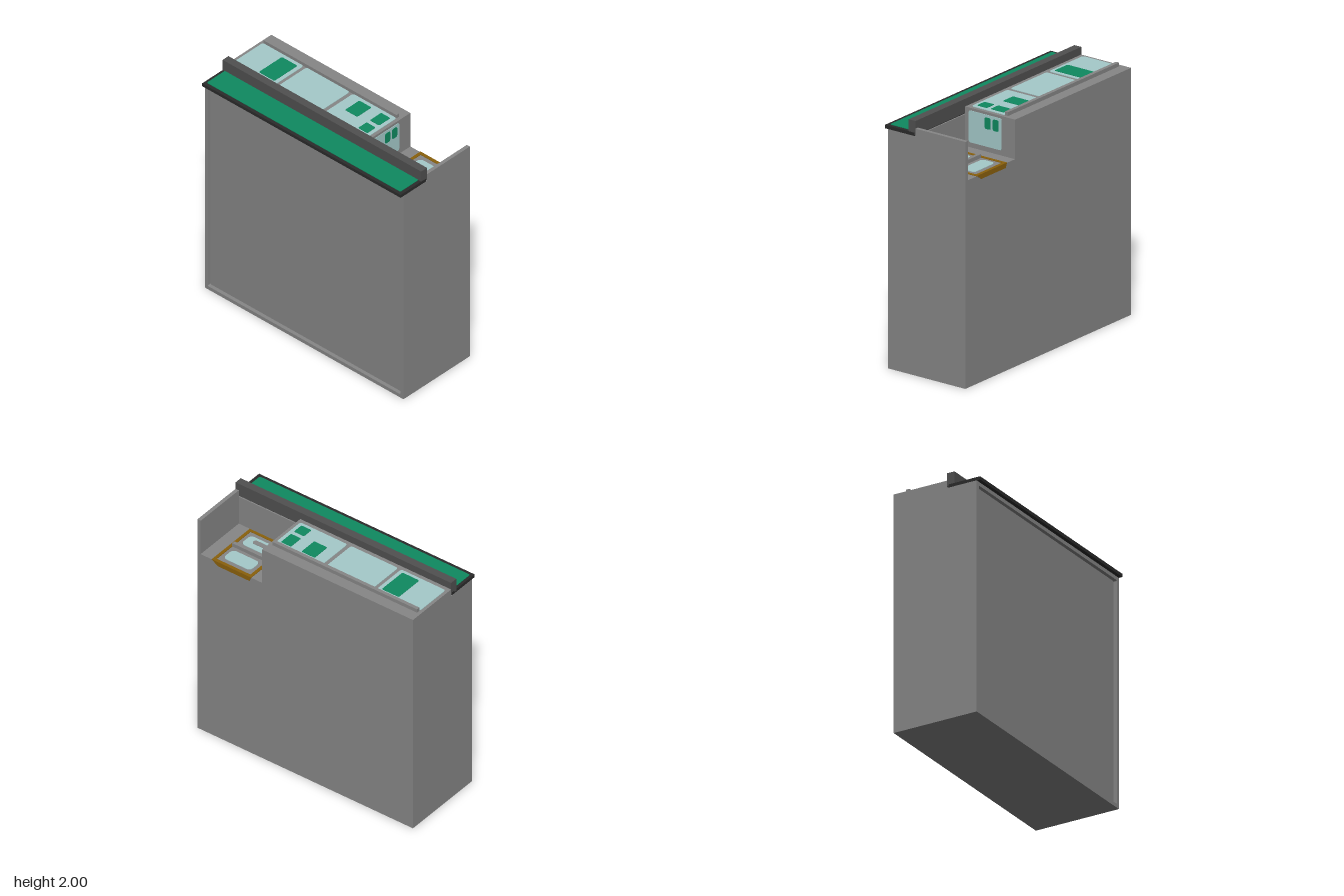
import * as THREE from 'three';

const mat = (name, color, side = THREE.FrontSide) => {
  const m = new THREE.MeshStandardMaterial({ color, side });
  m.name = name;
  return m;
};

export function createModel() {
  const root = new THREE.Group();
  root.name = 'serviceCounter';
  const grey = mat('bodyGrey', 0x868686);
  const darkGrey = mat('railGrey', 0x505050);
  const black = mat('trimBlack', 0x2b2b2b);
  const green = mat('panelGreen', 0x0f8a60);
  const pale = mat('paleBlue', 0xa5caca);
  const ochre = mat('frameOchre', 0x8a600c);

  const BACK = -0.374, MID = 0.09, FRONT = 0.345;
  const DECK = 1.94, FLOOR = 1.63, SHELF = 1.88;

  const add = (name, geometry, material, parent = root) => {
    const mesh = new THREE.Mesh(geometry, material);
    mesh.name = name;
    parent.add(mesh);
    return mesh;
  };
  // Box given by its extents
  const box = (name, material, x0, x1, y0, y1, z0, z1) => {
    const m = add(name, new THREE.BoxGeometry(x1 - x0, y1 - y0, z1 - z0), material);
    m.position.set((x0 + x1) / 2, (y0 + y1) / 2, (z0 + z1) / 2);
    return m;
  };
  const polygon = pts => new THREE.Shape(pts.map(p => new THREE.Vector2(...p)));
  const rect = (x0, x1, y0, y1) => polygon([[x0, y0], [x1, y0], [x1, y1], [x0, y1]]);
  const rounded = (x0, x1, y0, y1, r) => {
    const s = new THREE.Shape();
    s.absarc(x1 - r, y1 - r, r, 0, Math.PI / 2);
    s.absarc(x0 + r, y1 - r, r, Math.PI / 2, Math.PI);
    s.absarc(x0 + r, y0 + r, r, Math.PI, Math.PI * 1.5);
    s.absarc(x1 - r, y0 + r, r, Math.PI * 1.5, Math.PI * 2);
    s.closePath();
    return s;
  };
  const extrude = (shape, depth) =>
    new THREE.ExtrudeGeometry(shape, { depth, bevelEnabled: false, curveSegments: 6 });
  // Thin rounded plate lying on a horizontal surface
  const plate = (name, material, x0, x1, z0, z1, y, r, h = 0.004) => {
    const g = extrude(rounded(x0, x1, -z1, -z0, r), h).rotateX(-Math.PI / 2);
    add(name, g, material).position.y = y;
  };

  // Cabinet with the notch cut out of its top
  const profile = polygon([[-1, 0], [1, 0], [1, DECK], [0.97, DECK],
    [0.97, FLOOR], [0.4, FLOOR], [0.4, DECK], [-1, DECK]]);
  add('cabinetBack', extrude(profile, MID - BACK), grey).position.z = BACK;
  box('cabinetFront', grey, -1, 1, 0, SHELF, MID, FRONT - 0.03);

  // Raised border around the sunken front panel
  const border = rect(-1, 1, 0, SHELF);
  border.holes.push(rounded(-0.97, 0.97, 0.03, 1.85, 0.01));
  add('frontBorder', extrude(border, 0.03), grey).position.z = FRONT - 0.03;

  // Front shelf and upright rail
  box('shelf', black, -1, 1, SHELF, 1.906, 0.1, 0.375);
  plate('shelfMat', green, -0.978, 0.972, 0.153, 0.348, 1.906, 0.01);
  box('rail', darkGrey, -1, 1, 1.89, 2, MID, 0.153);

  // Work surface on the deck
  box('deckRidge', grey, -0.97, 0.37, DECK, 1.97, -0.285, -0.256);
  for (const [x0, x1] of [[-0.975, -0.563], [-0.535, -0.098], [-0.065, 0.372]])
    plate('deckPanel', pale, x0, x1, -0.255, 0.055, DECK, 0.02);
  for (const [x0, x1, z0, z1] of [[-0.752, -0.596, -0.222, 0.027], [0.028, 0.15, -0.222, -0.068],
    [0.248, 0.34, -0.222, -0.1], [0.248, 0.34, 0.064 - 0.128, 0.027]])
    plate('deckPad', green, x0, x1, z0, z1, DECK + 0.004, 0.01, 0.003);

  // Panel with pads on the inner wall of the notch
  const wallPlate = (name, material, z0, z1, y0, y1, x, h) => {
    const g = extrude(rounded(-z1, -z0, y0, y1, 0.015), h).rotateY(Math.PI / 2);
    add(name, g, material).position.x = x;
  };
  wallPlate('wallPanel', pale, -0.25, 0.055, 1.67, 1.92, 0.4, 0.004);
  for (const z of [-0.225, -0.15])
    wallPlate('wallPad', green, z, z + 0.055, 1.81, 1.9, 0.404, 0.003);

  // Framed tray area on the notch floor
  const ring = rect(0.5, 0.865, -0.086, 0.375);
  ring.holes.push(rect(0.526, 0.84, -0.062, 0.35));
  add('trayFrame', extrude(ring, 0.004).rotateX(-Math.PI / 2), ochre).position.y = FLOOR;
  const lip = polygon([[0.5, FLOOR + 0.004], [0.515, 1.595], [0.81, 1.595], [0.865, FLOOR + 0.004]]);
  add('trayFrameLip', extrude(lip, 0.003), ochre).position.z = BACK - 0.003;
  plate('rearTray', pale, 0.558, 0.81, -0.312, -0.19, FLOOR, 0.035);
  plate('frontTray', pale, 0.558, 0.81, -0.095, 0.027, FLOOR, 0.035);
  plate('traySlot', grey, 0.62, 0.748, -0.042, 0, FLOOR + 0.004, 0.02, 0.003);
  box('trayDivider', grey, 0.53, 0.842, FLOOR, FLOOR + 0.03, -0.158, -0.13);

  return root;
}
